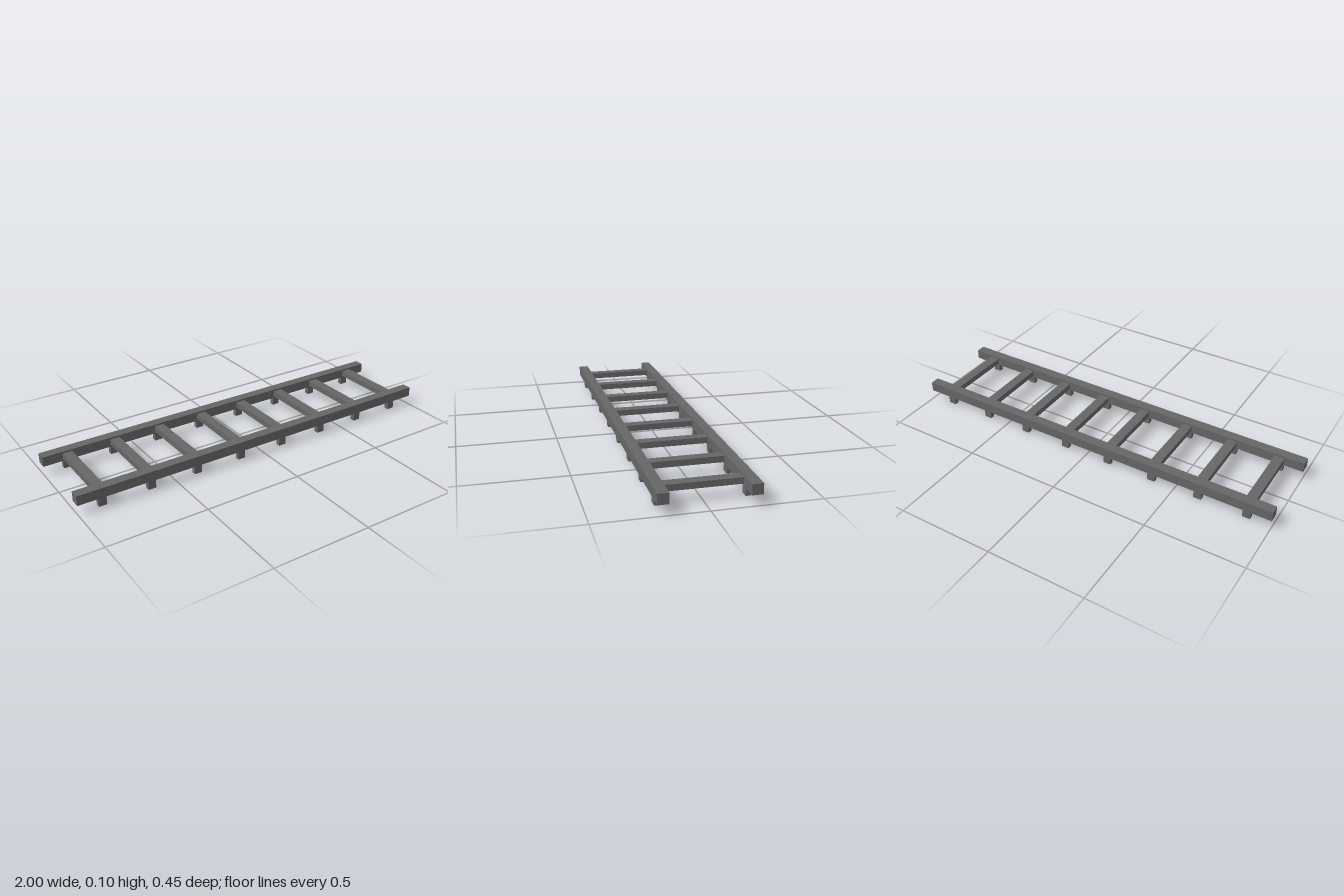
import * as THREE from 'three';

export function createModel() {
  const model = new THREE.Group();
  model.name = 'ladderTrack';
  const darkGrey = new THREE.MeshStandardMaterial({ color: 0x666666 });
  darkGrey.name = 'darkGrey';

  function addBox(name, geometry, x, y, z) {
    const mesh = new THREE.Mesh(geometry, darkGrey);
    mesh.name = name;
    mesh.position.set(x, y, z);
    model.add(mesh);
  }

  const railGeometry = new THREE.BoxGeometry(2, 0.05, 0.05);
  const rungGeometry = new THREE.BoxGeometry(0.05, 0.03, 0.35);
  const legGeometry = new THREE.BoxGeometry(0.04, 0.05, 0.024);

  // Two long side rails
  for (const side of [1, -1]) {
    addBox(side > 0 ? 'frontRail' : 'backRail', railGeometry, 0, 0.075, side * 0.2);
  }

  // Eight evenly spaced rungs, each with a short leg under both rails
  for (let i = 0; i < 8; i++) {
    const x = -0.875 + i * 0.25;
    addBox(`rung${i + 1}`, rungGeometry, x, 0.075, 0);
    for (const side of [1, -1]) {
      addBox(`${side > 0 ? 'front' : 'back'}Leg${i + 1}`, legGeometry, x, 0.025, side * 0.2);
    }
  }
  return model;
}
